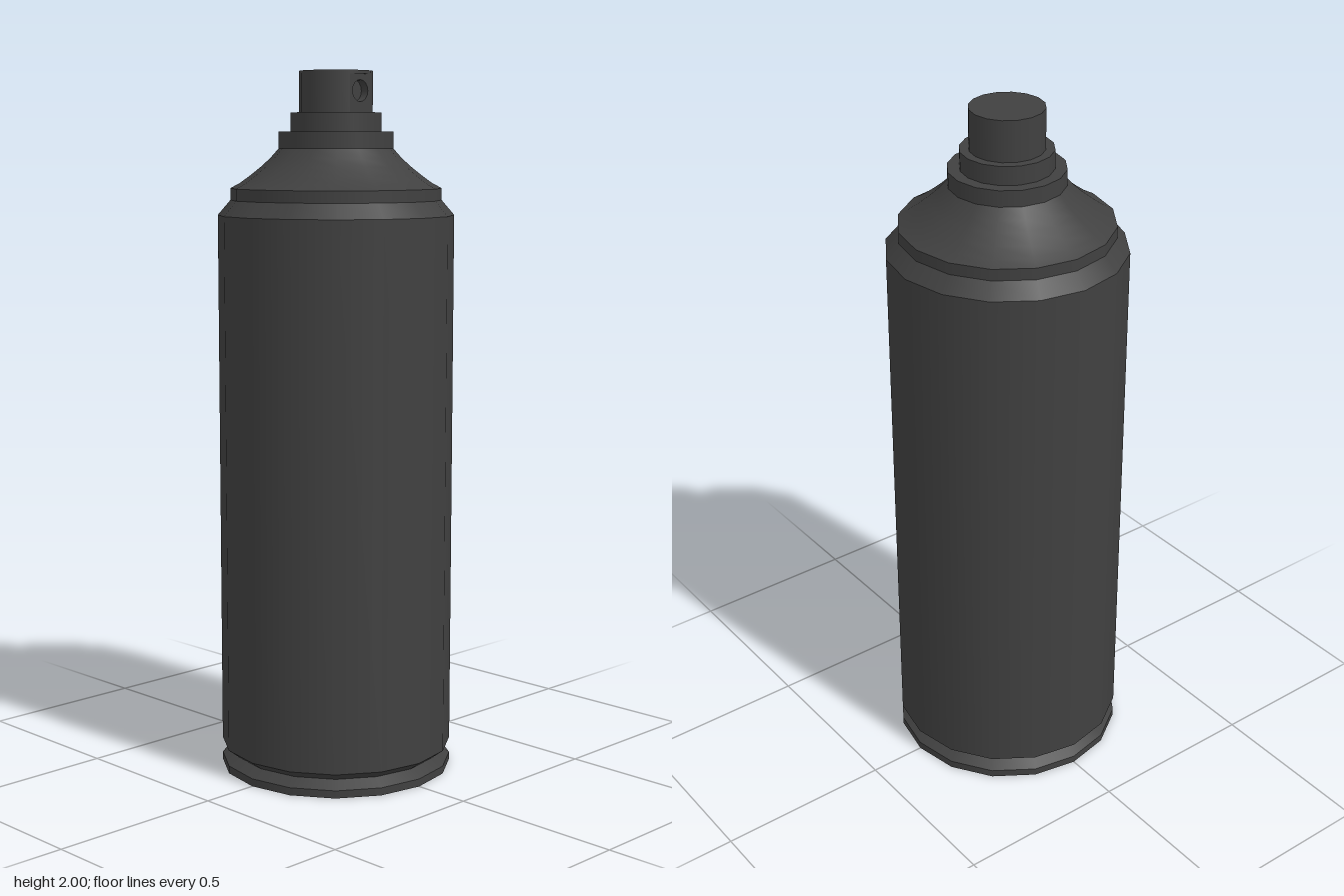
import * as THREE from 'three';
import { mergeGeometries } from 'three/addons/utils/BufferGeometryUtils.js';

const SIDES = 16;
const paint = new THREE.MeshStandardMaterial({ color: 0x404040 });

// Each band is smooth in itself; the edges between bands stay sharp.
function turned(name, bands, start = 0, length = Math.PI * 2, sides = SIDES) {
  const parts = bands.map((band) =>
    new THREE.LatheGeometry(band.map(([r, y]) => new THREE.Vector2(r, y)), sides, start, length));
  const mesh = new THREE.Mesh(mergeGeometries(parts), paint);
  mesh.name = name;
  return mesh;
}

// Splits a profile into one sharp band per straight run.
const sharp = (points) => points.slice(1).map((p, i) => [points[i], p]);

function createNozzleCap() {
  const cap = new THREE.Group();
  cap.name = 'nozzleCap';
  const r = 0.103, y0 = 1.885, y1 = 1.99, top = 2;
  const step = (Math.PI * 2) / SIDES;
  const flatZ = r * Math.cos(step), flatX = r * Math.sin(step);
  const holeY = 1.944, holeR = 0.03, depth = 0.025;

  // Wall, leaving out the two front sides
  cap.add(turned('capWall', [[[r, y0], [r, y1]]], step, Math.PI * 2 - 2 * step, SIDES - 2));
  cap.add(turned('capTop', sharp([[0, y1], [r, y1], [r, top], [0, top]])));

  // Flat front with the spray hole
  const face = new THREE.Shape([
    new THREE.Vector2(-flatX, y0), new THREE.Vector2(flatX, y0),
    new THREE.Vector2(flatX, y1), new THREE.Vector2(-flatX, y1),
  ]);
  face.holes.push(new THREE.Path().absarc(0, holeY, holeR, 0, Math.PI * 2, true));
  const front = new THREE.Mesh(new THREE.ShapeGeometry(face, 8), paint);
  front.name = 'capFront';
  front.position.z = flatZ;
  cap.add(front);

  // Inside of the spray hole: floor, then wall facing inwards
  const hole = turned('sprayHole', sharp([[holeR, depth], [holeR, 0], [0, 0]]));
  hole.rotation.x = Math.PI / 2;
  hole.position.set(0, holeY, flatZ - depth);
  cap.add(hole);
  return cap;
}

export function createModel() {
  const can = new THREE.Group();
  can.name = 'sprayCan';

  // Recessed base, rolled rim and groove
  can.add(turned('baseRim', sharp([
    [0, 0.016], [0.3, 0.016], [0.32, 0], [0.334, 0], [0.334, 0.022], [0.302, 0.044], [0.334, 0.068],
  ])));
  can.add(turned('body', sharp([[0.334, 0.068], [0.334, 1.6], [0.298, 1.642]])));

  // Shoulder seam and domed top
  can.add(turned('shoulder', [
    [[0.298, 1.642], [0.298, 1.675]],
    [[0.298, 1.675], [0.27, 1.69], [0.24, 1.712], [0.21, 1.736], [0.185, 1.759], [0.16, 1.787]],
  ]));

  // Stepped valve collar
  can.add(turned('valveCollar', sharp([
    [0.161, 1.78], [0.161, 1.832], [0.128, 1.832], [0.128, 1.885], [0, 1.885],
  ])));

  can.add(createNozzleCap());
  return can;
}
